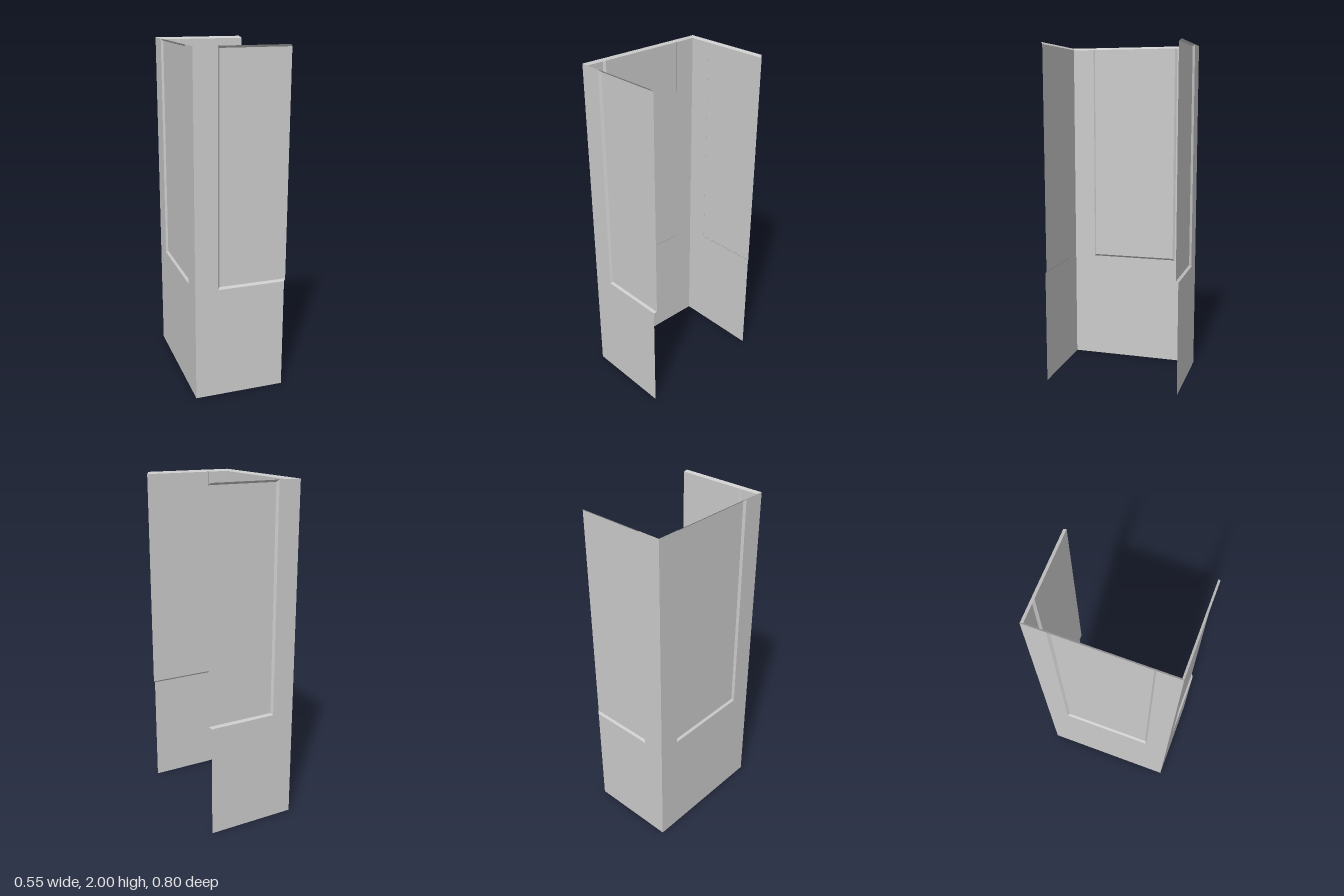
import * as THREE from 'three';

const H = 2, D = 0.012, B = 0.668; // height, recess depth, recess bottom
const X = 0.2725, Z = 0.4;         // outer half sizes

const material = new THREE.MeshStandardMaterial({ color: 0xcccccc, side: THREE.DoubleSide });

// Flat four-cornered sheet, corners counter-clockwise from outside
function sheet(name, a, b, c, d) {
  const geometry = new THREE.BufferGeometry();
  geometry.setAttribute('position', new THREE.Float32BufferAttribute([a, b, c, a, c, d].flat(), 3));
  geometry.computeVertexNormals();
  const mesh = new THREE.Mesh(geometry, material);
  mesh.name = name;
  return mesh;
}

// Wall facing +z from u0 to u1 with a recessed panel between o0 and o1;
// when the recess reaches u1 the right-hand side stays open
function wall(name, u0, u1, o0, o1) {
  const group = new THREE.Group();
  group.name = name;
  const open = o1 === u1;
  const i0 = o0 + D, i1 = open ? o1 + D : o1 - D;
  const low = B + D, top = H - D;

  // Outer skin, notched around the recess
  const outline = [[u0, 0], [u1, 0]];
  if (!open) outline.push([u1, H], [o1, H]);
  outline.push([o1, B], [o0, B], [o0, H], [u0, H]);
  const shape = new THREE.Shape(outline.map(([x, y]) => new THREE.Vector2(x, y)));
  const skin = new THREE.Mesh(new THREE.ShapeGeometry(shape), material);
  skin.name = 'wallSkin';

  group.add(
    skin,
    sheet('recessedPanel', [i0, low, -D], [i1, low, -D], [i1, top, -D], [i0, top, -D]),
    sheet('bottomBevel', [o0, B, 0], [o1, B, 0], [i1, low, -D], [i0, low, -D]),
    sheet('sideBevel', [o0, B, 0], [i0, low, -D], [i0, top, -D], [o0, H, 0]),
    // Mitred lip sloping inward along the whole top edge
    sheet('topLip', [u0 + D, top, -D], [open ? u1 + D : u1 - D, top, -D], [u1, H, 0], [u0, H, 0])
  );
  if (!open) {
    group.add(sheet('sideBevel', [i1, low, -D], [o1, B, 0], [o1, H, 0], [i1, top, -D]));
  }
  return group;
}

export function createModel() {
  const model = new THREE.Group();
  model.name = 'threeSidedPanelling';

  // Two mirrored side walls, open towards +x
  for (const s of [1, -1]) {
    const side = wall(s > 0 ? 'frontWall' : 'backWall', -X, X - D, -0.14, X - D);
    side.position.z = s * Z;
    side.scale.z = s;
    model.add(side);
  }

  // Wide wall joining them at -x
  const middle = wall('middleWall', -Z, Z, -0.268, 0.268);
  middle.rotation.y = -Math.PI / 2;
  middle.position.x = -X;
  model.add(middle);

  return model;
}
